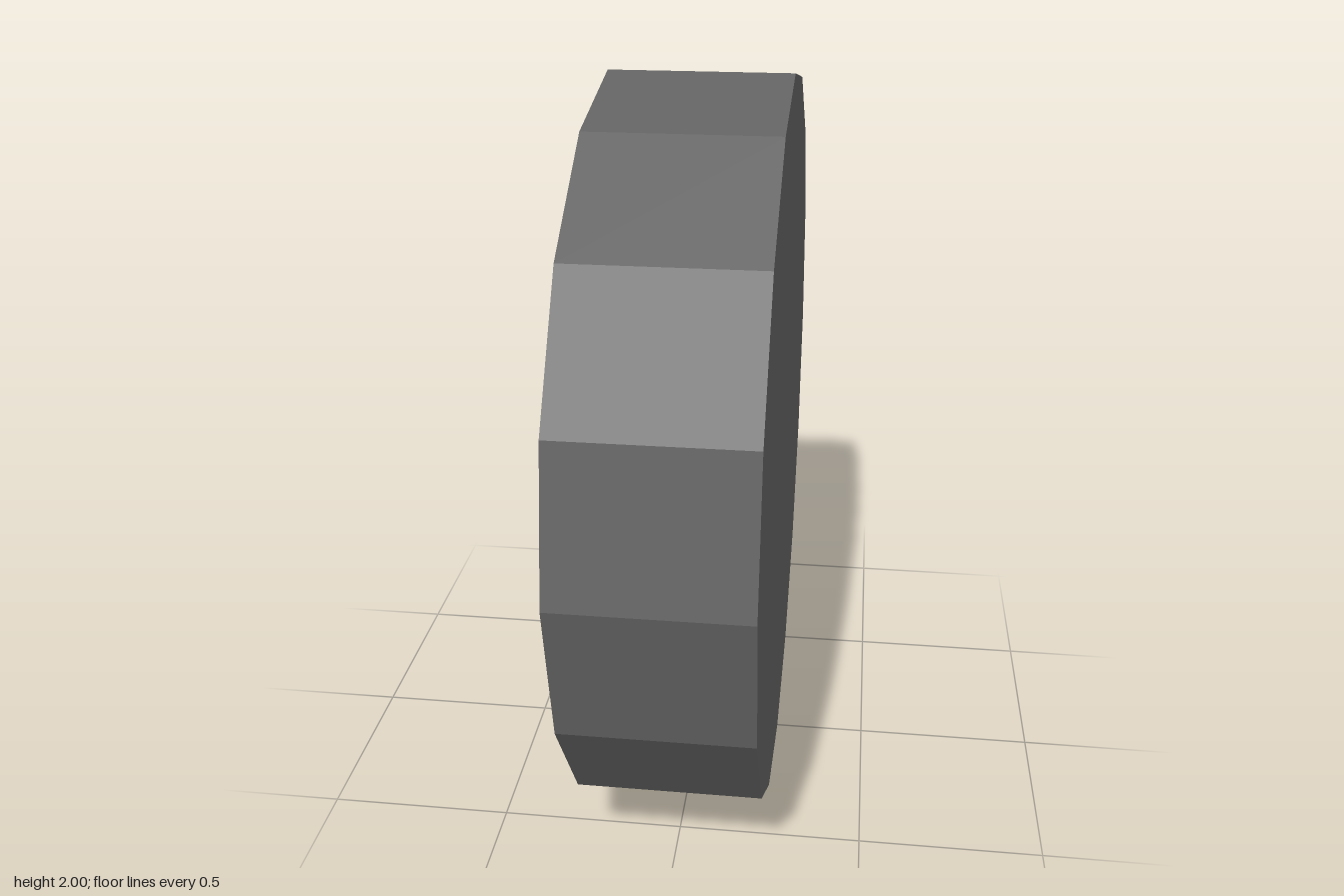
import * as THREE from 'three';

const SIDES = 16;
const RADIUS = 1;
const INNER_RADIUS = 0.88;
const HALF_WIDTH = 0.24;

export function createModel() {
  const group = new THREE.Group();
  group.name = 'recessedDisc';

  // Profile (radius, axis): recess floor, recess wall, rim, outer wall, closed face
  const profile = [
    [0, 0],
    [INNER_RADIUS, 0],
    [INNER_RADIUS, -HALF_WIDTH],
    [RADIUS, -HALF_WIDTH],
    [RADIUS, HALF_WIDTH],
    [0, HALF_WIDTH],
  ].map(([r, y]) => new THREE.Vector2(r, y));

  // Turn the axis onto x: closed face to +x, recess to -x
  const geometry = new THREE.LatheGeometry(profile, SIDES).toNonIndexed();
  geometry.rotateZ(-Math.PI / 2);
  geometry.computeVertexNormals();

  // Dark grey
  const material = new THREE.MeshStandardMaterial({ color: 0x636363, flatShading: true });
  const disc = new THREE.Mesh(geometry, material);
  disc.name = 'discWithRim';
  disc.position.y = RADIUS;
  group.add(disc);

  return group;
}
